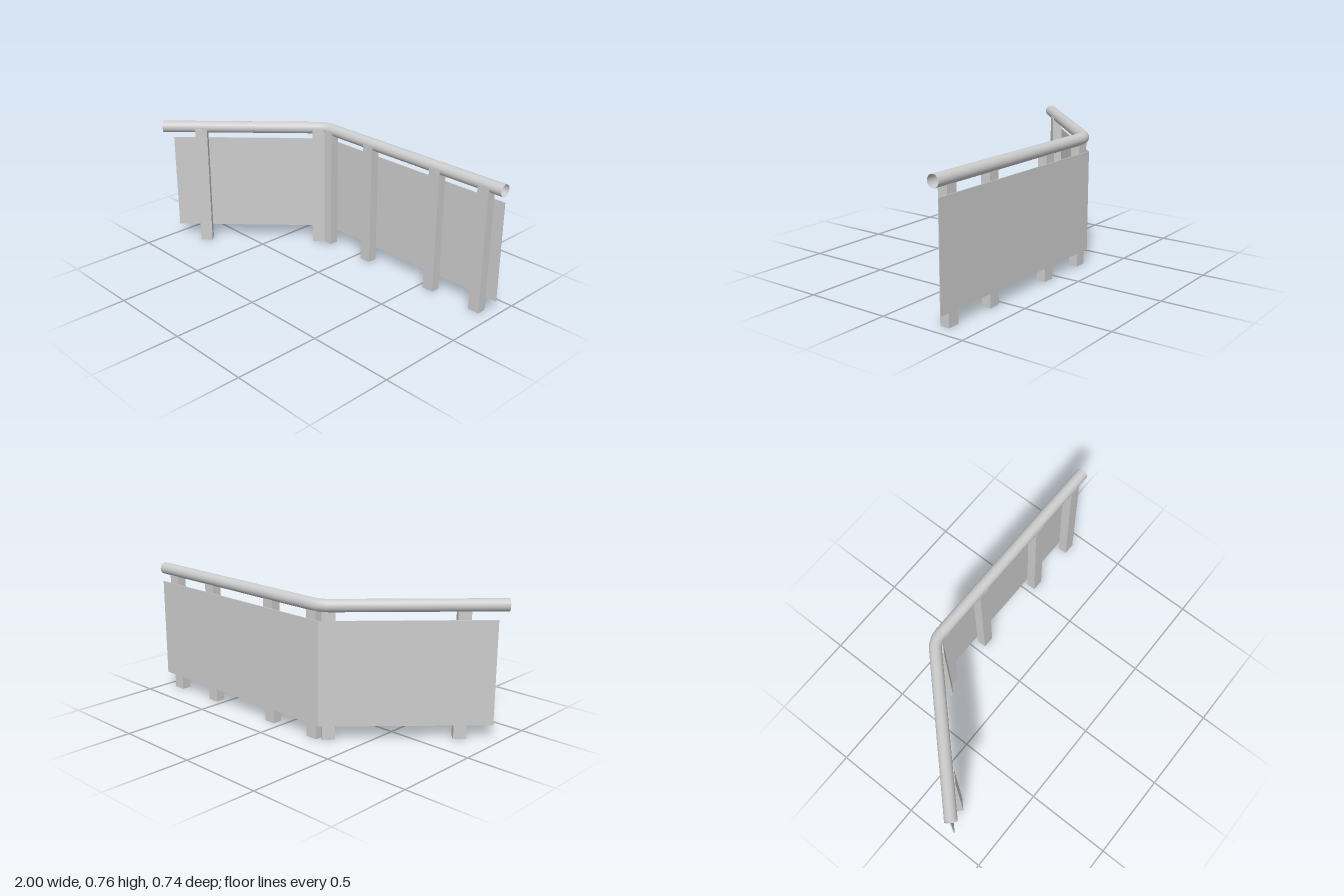
import * as THREE from 'three';

const RAIL_Y = 0.73, RAIL_R = 0.034;
const POST_W = 0.07, POST_D = 0.055, POST_H = 0.725;

export function createModel() {
  const group = new THREE.Group();
  const grey = new THREE.MeshStandardMaterial({ color: 0xcccccc });
  const greyDouble = new THREE.MeshStandardMaterial({ color: 0xcccccc, side: THREE.DoubleSide });

  const add = (name, geometry, material = grey) => {
    const mesh = new THREE.Mesh(geometry, material);
    mesh.name = name;
    group.add(mesh);
    return mesh;
  };

  // Handrail: an open tube, two straight runs joined by a rounded 45 degree bend
  const p = (x, z) => new THREE.Vector3(x, RAIL_Y, z);
  const bendStart = p(-0.333, -0.3), corner = p(-0.293, -0.34), bendEnd = p(-0.236, -0.34);
  const path = new THREE.CurvePath();
  path.add(new THREE.LineCurve3(p(-0.976, 0.343), bendStart));
  path.add(new THREE.QuadraticBezierCurve3(bendStart, corner, bendEnd));
  path.add(new THREE.LineCurve3(bendEnd, p(1, -0.34)));
  add('handrail', new THREE.TubeGeometry(path, 200, RAIL_R, 32, false), greyDouble);

  // Posts: four along the straight run, two along the angled run
  const posts = [
    [-0.245, -0.332, 0], [0.08, -0.332, 0], [0.568, -0.332, 0], [0.89, -0.332, 0],
    [-0.8075, 0.19, Math.PI / 4], [-0.3125, -0.299, Math.PI / 4],
  ];
  const postGeometry = new THREE.BoxGeometry(POST_W, POST_H, POST_D);
  posts.forEach(([x, z, turn], i) => {
    const post = add(`post${i + 1}`, postGeometry);
    post.position.set(x, POST_H / 2, z);
    post.rotation.y = turn;
  });

  // Thin panels behind the posts, mitred where they meet; footprints are [x, z]
  const addPanel = (name, footprint) => {
    const shape = new THREE.Shape(footprint.map(([x, z]) => new THREE.Vector2(x, -z)));
    const geometry = new THREE.ExtrudeGeometry(shape, { depth: 0.575, bevelEnabled: false });
    geometry.rotateX(-Math.PI / 2).translate(0, 0.08, 0);
    add(name, geometry);
  };
  addPanel('straightPanel', [[-0.3, -0.36], [0.99, -0.36], [0.99, -0.365], [-0.302, -0.365]]);
  addPanel('angledPanel', [[-0.951, 0.291], [-0.3, -0.36], [-0.302, -0.365], [-0.955, 0.288]]);

  return group;
}
